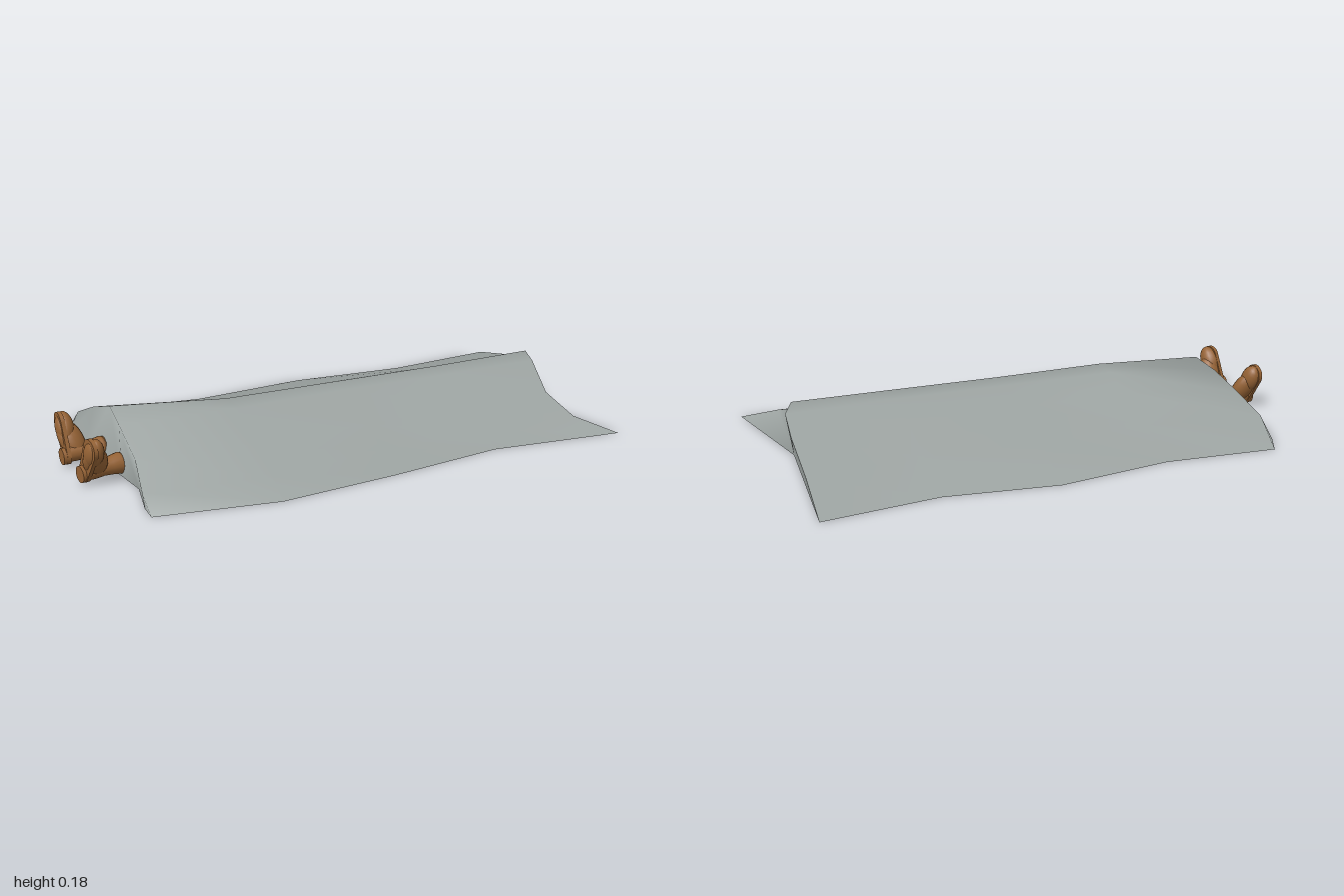
import * as THREE from 'three';

// Foot end: sheet edge above and hem on the ground, back to front, as [x, y, z]
const FOOT_TOP = [[-0.98, 0, -0.14], [-0.95, 0.075, 0], [-0.88, 0.13, 0.1], [-0.81, 0.175, 0.22],
  [-0.762, 0.172, 0.39], [-0.7, 0.11, 0.545], [-0.67, 0.05, 0.68], [-0.64, 0, 0.745]];
const FOOT_HEM = [[-0.99, 0, -0.04], [-0.99, 0, 0.06], [-0.91, 0, 0.19],
  [-0.76, 0, 0.42], [-0.695, 0, 0.53], [-0.665, 0, 0.68]];

// Head end: arched sheet edge and the point where its end flap tucks in
const HEAD_TOP = [[0.56, 0, -0.75], [0.625, 0.075, -0.58], [0.705, 0.13, -0.37], [0.74, 0.178, -0.27],
  [0.74, 0.178, -0.15], [0.765, 0.1, -0.01], [0.84, 0.05, 0.11], [0.995, 0, 0.165]];
const HEAD_TUCK = [0.73, 0, -0.21];

// Middle sections: back edge [x, z], front edge [x, z], fractions of the two ridges
const MIDDLE = [
  [[-0.58, -0.26], [-0.23, 0.66], 0.48, 0.59],
  [[-0.21, -0.46], [0.15, 0.48], 0.525, 0.62],
  [[0.19, -0.56], [0.52, 0.285], 0.53, 0.637],
];
const HEIGHTS = [0, 0.075, 0.132, 0.178, 0.178, 0.1, 0.05, 0];

function section([back, front, r1, r2]) {
  const rest = 1 - r2;
  const fractions = [0, r1 * 0.36, r1 * 0.77, r1, r2, r2 + rest * 0.41, r2 + rest * 0.76, 1];
  return fractions.map((t, i) => [
    THREE.MathUtils.lerp(back[0], front[0], t), HEIGHTS[i], THREE.MathUtils.lerp(back[1], front[1], t)]);
}

function surface(points, index) {
  const g = new THREE.BufferGeometry();
  g.setAttribute('position', new THREE.Float32BufferAttribute(points.flat(), 3));
  g.setIndex(index);
  g.computeVertexNormals();
  return g;
}

// Draped cloth, open underneath, hanging down over the feet
function sheetGeometry() {
  const rows = [FOOT_TOP, ...MIDDLE.map(section), HEAD_TOP];
  const n = HEIGHTS.length;
  const index = [];
  for (let s = 0; s < rows.length - 1; s++) {
    for (let i = 0; i < n - 1; i++) {
      const a = s * n + i, b = a + n;
      index.push(a, a + 1, b + 1, a, b + 1, b);
    }
  }
  // The outer corners of the hanging wall are shared with the top
  const start = rows.length * n - 1;
  const hem = (i) => (i === 0 || i === n - 1 ? i : start + i);
  for (let i = 0; i < n - 1; i++) {
    if (i > 0) index.push(i, hem(i), hem(i + 1));
    if (i < n - 2) index.push(i, hem(i + 1), i + 1);
  }
  return surface([...rows.flat(), ...FOOT_HEM], index);
}

// Flap closing the head end, fanned out from its tuck
function flapGeometry() {
  const index = [];
  for (let i = 1; i < HEAD_TOP.length; i++) index.push(0, i, i + 1);
  return surface([HEAD_TUCK, ...HEAD_TOP], index);
}

// Boot frame: y from heel to toe, z from sole up the shaft
function makeBoot(material, name, heel, axis, lean) {
  const boot = new THREE.Group();
  boot.name = name;
  const add = (part, geometry, x, y, z) => {
    const mesh = new THREE.Mesh(geometry, material);
    mesh.name = part;
    mesh.position.set(x, y, z);
    boot.add(mesh);
  };

  // Sole, wider at the toe
  const outline = new THREE.Shape();
  outline.absarc(0, 0.142, 0.039, 0, Math.PI);
  outline.absarc(0, 0.029, 0.03, Math.PI, Math.PI * 2);
  add('sole', new THREE.ExtrudeGeometry(outline, { depth: 0.014, bevelEnabled: false, curveSegments: 10 }), 0, 0, 0);
  add('heel', new THREE.CylinderGeometry(0.029, 0.029, 0.014, 16).rotateX(Math.PI / 2), 0, 0.029, -0.005);

  // Foot, instep and flared shaft
  add('toe', new THREE.SphereGeometry(1, 18, 12).scale(0.038, 0.057, 0.032), 0, 0.124, 0.02);
  add('instep', new THREE.SphereGeometry(1, 18, 12).scale(0.033, 0.075, 0.042).rotateX(-0.3), 0, 0.08, 0.034);
  const profile = [[0.03, 0], [0.031, 0.03], [0.029, 0.06], [0.032, 0.09], [0.037, 0.12], [0.034, 0.132], [0, 0.133]]
    .map(([r, h]) => new THREE.Vector2(r, h));
  add('shaft', new THREE.LatheGeometry(profile, 18).rotateX(Math.PI / 2), 0, 0.036, 0.008);

  const z = new THREE.Vector3(axis[0], 0, axis[1]).normalize();
  const y = new THREE.Vector3(-z.z * lean, 1, z.x * lean).normalize();
  const x = new THREE.Vector3().crossVectors(y, z);
  boot.quaternion.setFromRotationMatrix(new THREE.Matrix4().makeBasis(x, y, z));
  boot.position.set(...heel);
  return boot;
}

export function createModel() {
  const cloth = new THREE.MeshStandardMaterial({ color: 0x9ca3a1, side: THREE.DoubleSide });
  cloth.name = 'grey cloth';
  const leather = new THREE.MeshStandardMaterial({ color: 0x966335 });
  leather.name = 'brown leather';

  const model = new THREE.Group();
  model.name = 'coveredFigure';
  const addCloth = (name, geometry) => {
    const mesh = new THREE.Mesh(geometry, cloth);
    mesh.name = name;
    model.add(mesh);
  };
  addCloth('sheet', sheetGeometry());
  addCloth('headFlap', flapGeometry());
  model.add(makeBoot(leather, 'rightBoot', [-0.95, 0.012, 0.335], [0.89, -0.45], -0.5));
  model.add(makeBoot(leather, 'leftBoot', [-0.885, 0.012, 0.465], [0.83, -0.55], 0.57));
  return model;
}
